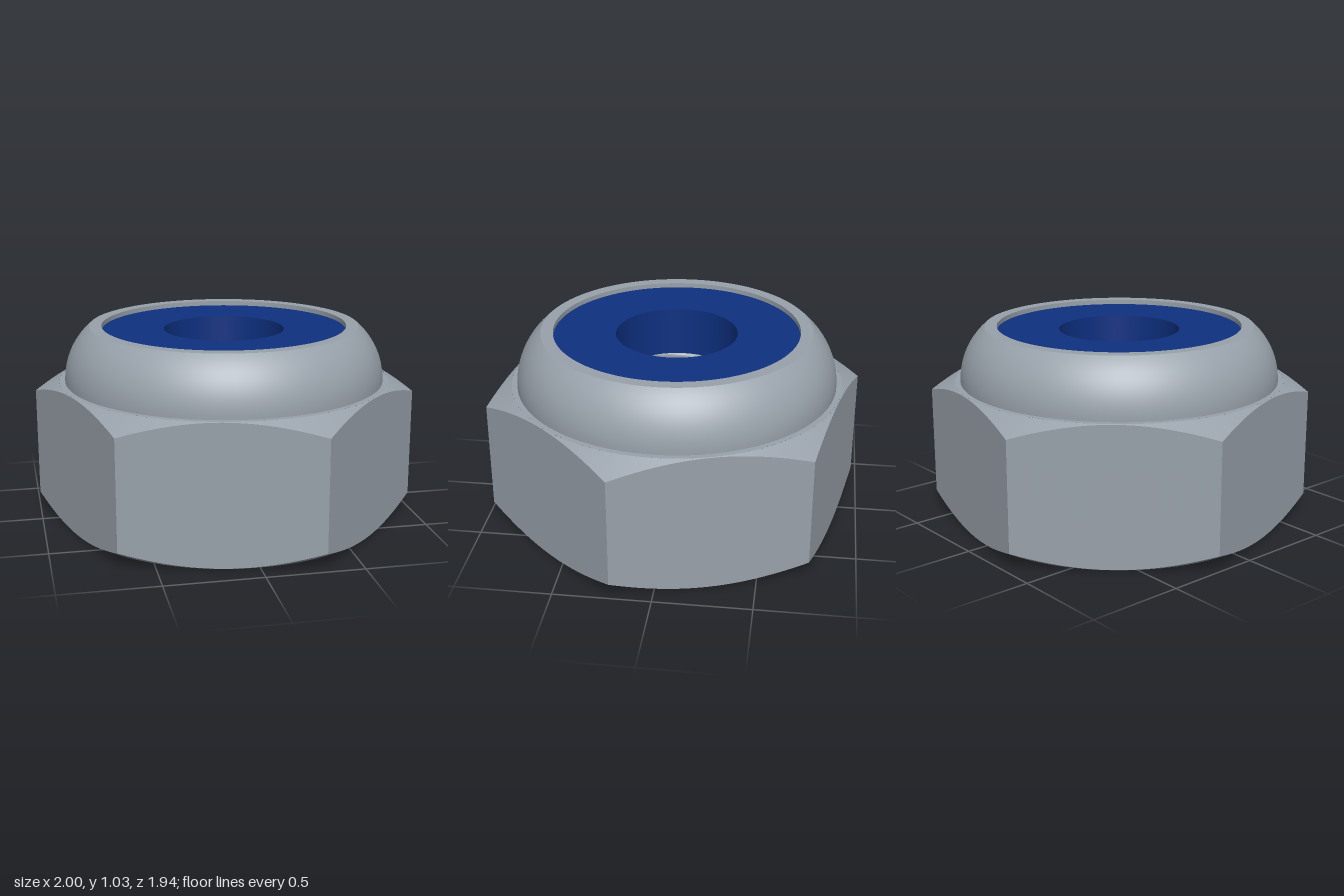
import * as THREE from 'three';
import { mergeGeometries } from 'three/addons/utils/BufferGeometryUtils.js';

const APOTHEM = 0.884, HEX_H = 0.745, FLAT_R = 0.88, TOP = 1.035;
const BORE_R = 0.435, TURN = THREE.MathUtils.degToRad(12);
const SLOPE = Math.tan(Math.PI / 6);

const steel = new THREE.MeshStandardMaterial({ color: 0x98a1aa });
steel.name = 'steel';
const blue = new THREE.MeshStandardMaterial({ color: 0x0e3080 });
blue.name = 'blue nylon';

// point on a circle of radius r at angle t and height y
const polar = (r, t, y) => [r * Math.cos(t), y, r * Math.sin(t)];

// smooth skin over rows of points; rows run along the profile, columns around the axis
function loft(rows) {
  const n = rows[0].length, index = [];
  for (let j = 0; j < rows.length - 1; j++) {
    for (let i = 0; i < n - 1; i++) {
      const a = j * n + i, b = a + n;
      index.push(a, b, a + 1, a + 1, b, b + 1);
    }
  }
  const g = new THREE.BufferGeometry();
  g.setAttribute('position', new THREE.Float32BufferAttribute(rows.flat(2), 3));
  g.setIndex(index);
  g.computeVertexNormals();
  return g;
}

// revolved profile with a sharp edge at every point
function turned(points) {
  const bands = [];
  for (let i = 0; i < points.length - 1; i++) {
    bands.push(new THREE.LatheGeometry(
      [new THREE.Vector2(...points[i]), new THREE.Vector2(...points[i + 1])], 96));
  }
  return mergeGeometries(bands);
}

export function createModel() {
  const group = new THREE.Group();
  group.name = 'lockNut';
  const add = (name, geometry, material) => {
    const mesh = new THREE.Mesh(geometry, material);
    mesh.name = name;
    group.add(mesh);
  };

  // hexagon edge, and the height lost to the conical chamfer along it
  const SEG = 24;
  const hexR = (s) => APOTHEM / Math.cos((s / SEG) * Math.PI / 3 - Math.PI / 6);
  const cut = (r) => (r - FLAT_R) * SLOPE;
  const ringHex = { low: [], high: [], lowFlat: [], highFlat: [] };
  const sides = [];
  for (let f = 0; f < 6; f++) {
    const low = [], high = [];
    for (let s = 0; s <= SEG; s++) {
      const t = TURN + (f + s / SEG) * Math.PI / 3, r = hexR(s);
      low.push(polar(r, t, cut(r)));
      high.push(polar(r, t, HEX_H - cut(r)));
      if (s < SEG || f === 5) {
        ringHex.lowFlat.push(polar(FLAT_R, t, 0));
        ringHex.highFlat.push(polar(FLAT_R, t, HEX_H));
        ringHex.low.push(low[s]);
        ringHex.high.push(high[s]);
      }
    }
    sides.push(loft([low, high]));
  }
  add('hexSides', mergeGeometries(sides), steel);
  add('bottomChamfer', loft([ringHex.lowFlat, ringHex.low]), steel);
  add('topChamfer', loft([ringHex.high, ringHex.highFlat]), steel);
  add('bottomFace', turned([[BORE_R, 0], [FLAT_R, 0]]), steel);
  add('shoulder', turned([[FLAT_R, HEX_H], [0.84, HEX_H]]), steel);

  // domed collar with a flat lip around the insert
  const arc = [], R = 0.368, END = Math.asin((TOP - 0.75) / R);
  arc.push(new THREE.Vector2(0.85, HEX_H));
  for (let i = 0; i <= 20; i++) {
    const a = END * i / 20;
    arc.push(new THREE.Vector2(0.85 - R + R * Math.cos(a), 0.75 + R * Math.sin(a)));
  }
  add('collar', new THREE.LatheGeometry(arc, 96), steel);
  const last = arc[arc.length - 1];
  add('collarLip', turned([[last.x, TOP], [0.65, TOP], [0.65, HEX_H]]), steel);

  // locking insert, slightly recessed
  add('insert', turned([
    [0.32, HEX_H], [0.649, HEX_H], [0.649, 1.01], [0.32, 1.01], [0.32, HEX_H],
  ]), blue);

  // helical thread with a countersunk entry
  const PITCH = 0.178, MINOR = 0.33, DEPTH = 0.09, ROWS = 100, COLS = 96;
  const thread = [];
  for (let j = 0; j <= ROWS; j++) {
    const y = HEX_H * (1 - j / ROWS), row = [];
    for (let i = 0; i <= COLS; i++) {
      const t = (i / COLS) * Math.PI * 2;
      const phase = (y / PITCH + i / COLS) % 1;
      const wave = Math.abs(phase * 2 - 1);
      const groove = THREE.MathUtils.clamp((wave - 0.2) / 0.65, 0, 1);
      row.push(polar(Math.max(MINOR + DEPTH * groove, BORE_R - y), t, y));
    }
    thread.push(row);
  }
  add('thread', loft(thread), steel);

  return group;
}
